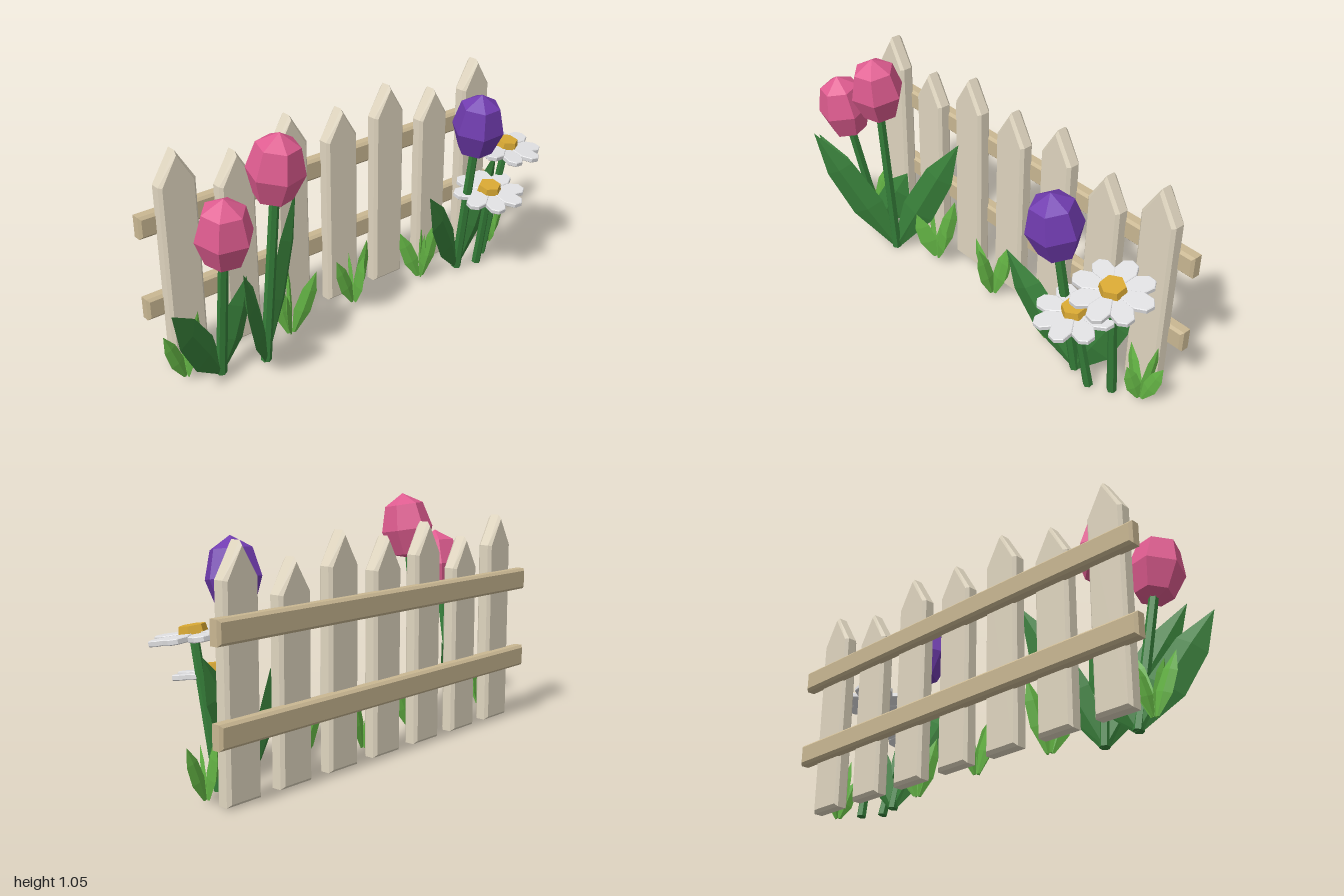
import * as THREE from 'three';

const mat = (name, color) => {
  const m = new THREE.MeshStandardMaterial({ color, flatShading: true });
  m.name = name;
  return m;
};

export function createModel() {
  const model = new THREE.Group();
  model.name = 'flowerFence';
  const M = {
    picket: mat('pale wood', 0xdfd5bf),
    rail: mat('tan wood', 0xc9b792),
    stem: mat('stem green', 0x36803a),
    leaf: mat('dark leaf green', 0x38803a),
    grass: mat('grass green', 0x66b846),
    pink: mat('tulip pink', 0xdf5c90),
    purple: mat('tulip purple', 0x713cb0),
    petal: mat('daisy white', 0xe0e0e2),
    centre: mat('daisy yellow', 0xd8a833),
  };
  const V = (a) => new THREE.Vector3(...a);
  const add = (parent, name, geo, material) => {
    const mesh = new THREE.Mesh(geo, material);
    mesh.name = name;
    parent.add(mesh);
    return mesh;
  };
  const group = (name, parent = model) => {
    const g = new THREE.Group();
    g.name = name;
    parent.add(g);
    return g;
  };

  // Bevelled plank cut from an outline, filling z0..z1
  const plank = (points, z0, z1, b) => {
    const shape = new THREE.Shape(points.map(([x, y]) => new THREE.Vector2(x, y)));
    return new THREE.ExtrudeGeometry(shape, {
      depth: z1 - z0 - 2 * b, bevelEnabled: true, bevelSize: b, bevelThickness: b, bevelSegments: 1,
    }).translate(0, 0, z0 + b);
  };

  // Fence
  const fence = group('fence');
  [0.95, 0.87, 0.95, 0.91, 0.95, 0.87, 0.95].forEach((h, i) => {
    const b = 0.013, w = 0.083 - b, s = h - 0.138;
    const geo = plank([[-w, 0.005 + b], [w, 0.005 + b], [w, s], [0, h - 0.019], [-w, s]], -0.232, -0.165, b);
    add(fence, 'picket', geo, M.picket).position.x = -0.77 + i * 0.2675;
  });
  for (const y of [0.235, 0.6]) {
    const b = 0.011, x0 = -0.925 + b, x1 = 0.985 - b, y0 = y + b, y1 = y + 0.095 - b;
    add(fence, 'rail', plank([[x0, y0], [x1, y0], [x1, y1], [x0, y1]], -0.272, -0.215, b), M.rail);
  }

  // Pointed blade with a diamond section, standing in the upright plane through base and tip
  const PROFILE = [[0, 0.25], [0.36, 0.95], [0.7, 0.82], [1, 0]];
  const blade = (base, tip, width, thick) => {
    const axis = tip.clone().sub(base);
    const normal = new THREE.Vector3(-axis.z, 0, axis.x).normalize();
    const side = new THREE.Vector3().crossVectors(normal, axis).normalize();
    const pos = [], idx = [];
    for (const [t, k] of PROFILE) {
      const c = base.clone().addScaledVector(axis, t);
      for (let j = 0; j < 4; j++) {
        const a = j * Math.PI / 2;
        const p = c.clone().addScaledVector(side, Math.cos(a) * k * width / 2)
          .addScaledVector(normal, Math.sin(a) * k * thick / 2);
        pos.push(p.x, Math.max(p.y, 0.004), p.z);
      }
    }
    for (let i = 0; i < PROFILE.length - 1; i++) {
      for (let j = 0; j < 4; j++) {
        const a = i * 4 + j, b = i * 4 + (j + 1) % 4;
        idx.push(a, b, a + 4, b, b + 4, a + 4);
      }
    }
    idx.push(0, 2, 1, 0, 3, 2);
    const geo = new THREE.BufferGeometry();
    geo.setAttribute('position', new THREE.Float32BufferAttribute(pos, 3));
    geo.setIndex(idx);
    geo.computeVertexNormals();
    return geo;
  };

  // Straight low-sided stem between two points
  const stem = (parent, a, b, r) => {
    const d = b.clone().sub(a);
    const mesh = add(parent, 'stem', new THREE.CylinderGeometry(r * 0.85, r, d.length(), 6), M.stem);
    mesh.position.copy(a).addScaledVector(d, 0.5);
    mesh.quaternion.setFromUnitVectors(new THREE.Vector3(0, 1, 0), d.normalize());
  };

  // Tulips: base, head centre, colour, head turn, leaf tips
  const budProfile = [[0, -0.148], [0.078, -0.125], [0.117, -0.015], [0.087, 0.098], [0, 0.15]]
    .map(([r, y]) => new THREE.Vector2(r, y));
  const tulips = [
    [[-0.725, 0.005, -0.025], [-0.757, 0.715, 0.115], M.pink, 0.3, [[-1, 0.447, 0.11], [-0.55, 0.37, -0.07]]],
    [[-0.535, 0.005, 0.02], [-0.507, 0.898, 0.105], M.pink, 0.8, [[-0.783, 0.613, 0.268], [-0.25, 0.64, -0.13]]],
    [[0.61, 0.005, -0.03], [0.575, 0.78, 0.1], M.purple, 0.5, [[0.307, 0.505, 0.09], [0.87, 0.52, -0.05]]],
  ];
  for (const [base, head, colour, turn, tips] of tulips) {
    const g = group('tulip');
    stem(g, V(base), V(head), 0.023);
    const bud = add(g, 'tulipHead', new THREE.LatheGeometry(budProfile, 6).rotateY(turn), colour);
    bud.position.set(...head);
    bud.rotation.set(0.15, 0, base[0] > head[0] ? 0.05 : -0.04);
    for (const tip of tips) add(g, 'tulipLeaf', blade(V(base), V(tip), 0.165, 0.055), M.leaf);
  }

  // Daisies: base, flower centre, sideways tilt
  const petalGeo = plank([[0.03, -0.014], [0.105, -0.042], [0.15, -0.03], [0.165, 0],
    [0.15, 0.03], [0.105, 0.042], [0.03, 0.014]], -0.011, 0.011, 0.003).rotateX(-Math.PI / 2);
  const daisies = [
    [[0.8, 0.005, -0.05], [0.83, 0.582, 0.038], -0.06],
    [[0.715, 0.005, 0.0], [0.69, 0.412, 0.08], 0.05],
  ];
  for (const [base, head, tilt] of daisies) {
    const g = group('daisy');
    stem(g, V(base), V(head), 0.021);
    const flower = group('daisyFlower', g);
    flower.position.set(...head);
    flower.rotation.set(0.15, 0, tilt);
    for (let i = 0; i < 8; i++) {
      const p = add(flower, 'petal', petalGeo, M.petal);
      p.rotation.y = -0.5 + i * Math.PI / 4;
      p.position.y = (i % 2) * 0.004;
    }
    add(flower, 'daisyCentre', new THREE.CylinderGeometry(0.05, 0.058, 0.04, 6), M.centre).position.y = 0.022;
  }

  // Grass tufts: x, z, turn, scale; each with four blades
  const tips = [[-0.107, 0.25, 0.01], [0.08, 0.29, -0.005], [0.03, 0.215, -0.075], [-0.01, 0.27, 0.078]];
  const tufts = [[-0.845, -0.09, 0.05, 0.94], [-0.34, -0.068, 2.75, 1.12], [0.03, -0.093, 0, 1],
    [0.41, -0.067, -0.4, 1], [0.905, -0.1, 3.1, 0.88]];
  for (const [x, z, turn, scale] of tufts) {
    const g = group('grassTuft');
    g.position.set(x, 0.004, z);
    g.rotation.y = turn;
    g.scale.setScalar(scale);
    for (const t of tips) {
      const root = new THREE.Vector3(t[0] * 0.1, 0.004, t[2] * 0.1);
      add(g, 'grassBlade', blade(root, V(t), 0.075, 0.02), M.grass);
    }
  }
  return model;
}
